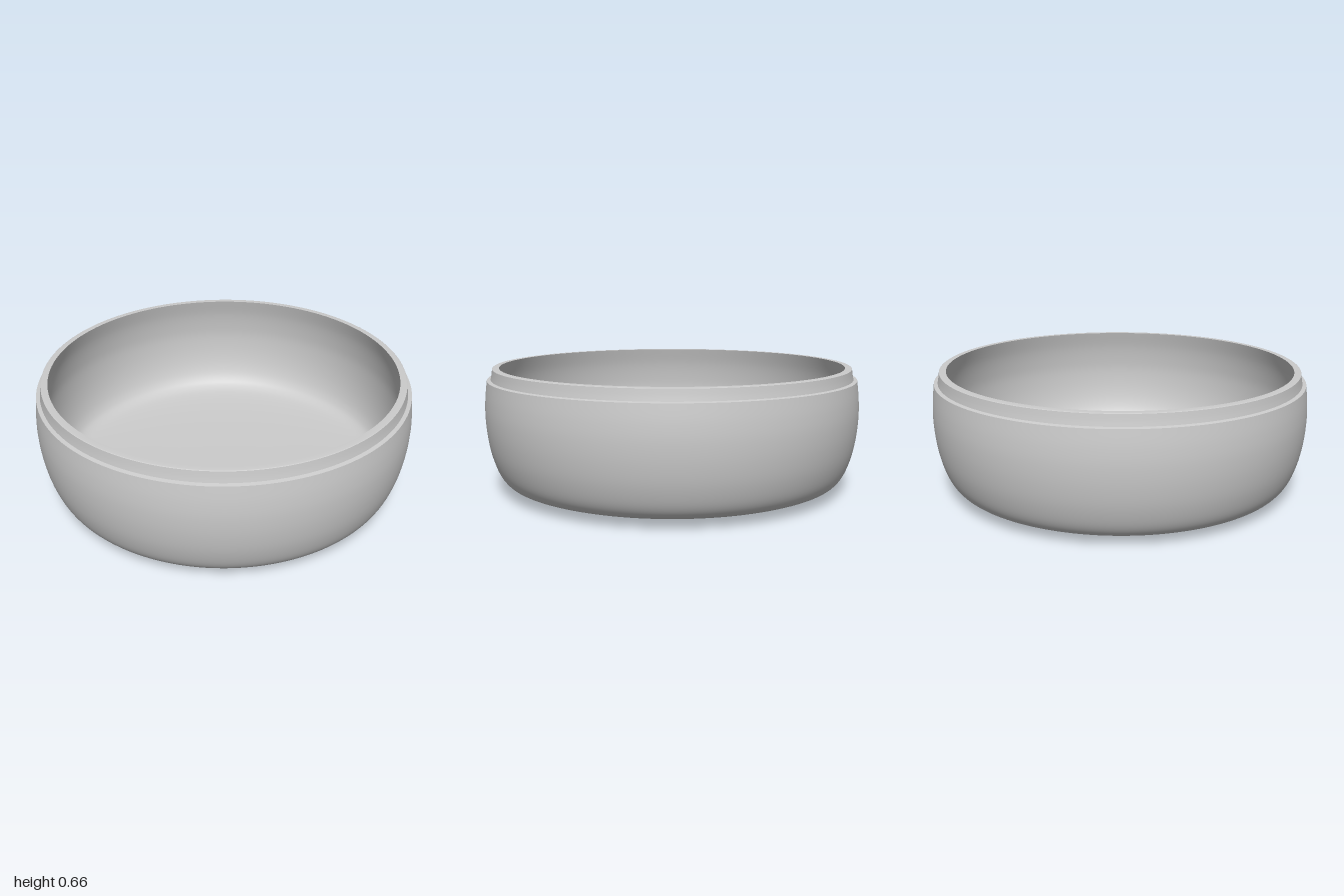
import * as THREE from 'three';

const material = new THREE.MeshStandardMaterial({ color: 0xcccccc });
const SEGMENTS = 128;

// Revolve one run of [radius, height] points; curved runs are smoothed by a spline
function ring(name, pairs, smooth = 0) {
  let points = pairs.map(([r, y]) => new THREE.Vector2(r, y));
  if (smooth) points = new THREE.SplineCurve(points).getPoints(smooth);
  points.forEach((p) => { p.x = Math.max(p.x, 0); });
  const mesh = new THREE.Mesh(new THREE.LatheGeometry(points, SEGMENTS), material);
  mesh.name = name;
  return mesh;
}

export function createModel() {
  const bowl = new THREE.Group();
  bowl.name = 'bowl';

  bowl.add(
    // Shallow convex base rolling up into the bulging wall
    ring('outerShell', [
      [0, 0.005], [0.3, 0.01], [0.6, 0.02], [0.8, 0.035], [0.87, 0.05], [0.91, 0.075],
      [0.945, 0.13], [0.975, 0.22], [0.993, 0.32], [1, 0.42], [0.997, 0.51], [0.987, 0.6],
    ], 60),
    // Flat step at the foot of the rim
    ring('shoulder', [[0.987, 0.6], [0.967, 0.604]]),
    // Narrower collar that a lid would slide over
    ring('collar', [[0.967, 0.604], [0.963, 0.625], [0.96, 0.645], [0.958, 0.66]], 8),
    ring('rimTop', [[0.958, 0.66], [0.953, 0.663], [0.922, 0.663]]),
    // Thin-walled hollow that follows the outer curve
    ring('innerShell', [
      [0.922, 0.663], [0.945, 0.57], [0.957, 0.48], [0.96, 0.4], [0.951, 0.3], [0.932, 0.21],
      [0.904, 0.14], [0.865, 0.098], [0.79, 0.075], [0.6, 0.058], [0.3, 0.047], [0, 0.043],
    ], 60),
  );

  // The bowl leans very slightly to one side
  bowl.rotation.z = 0.004;
  return bowl;
}
